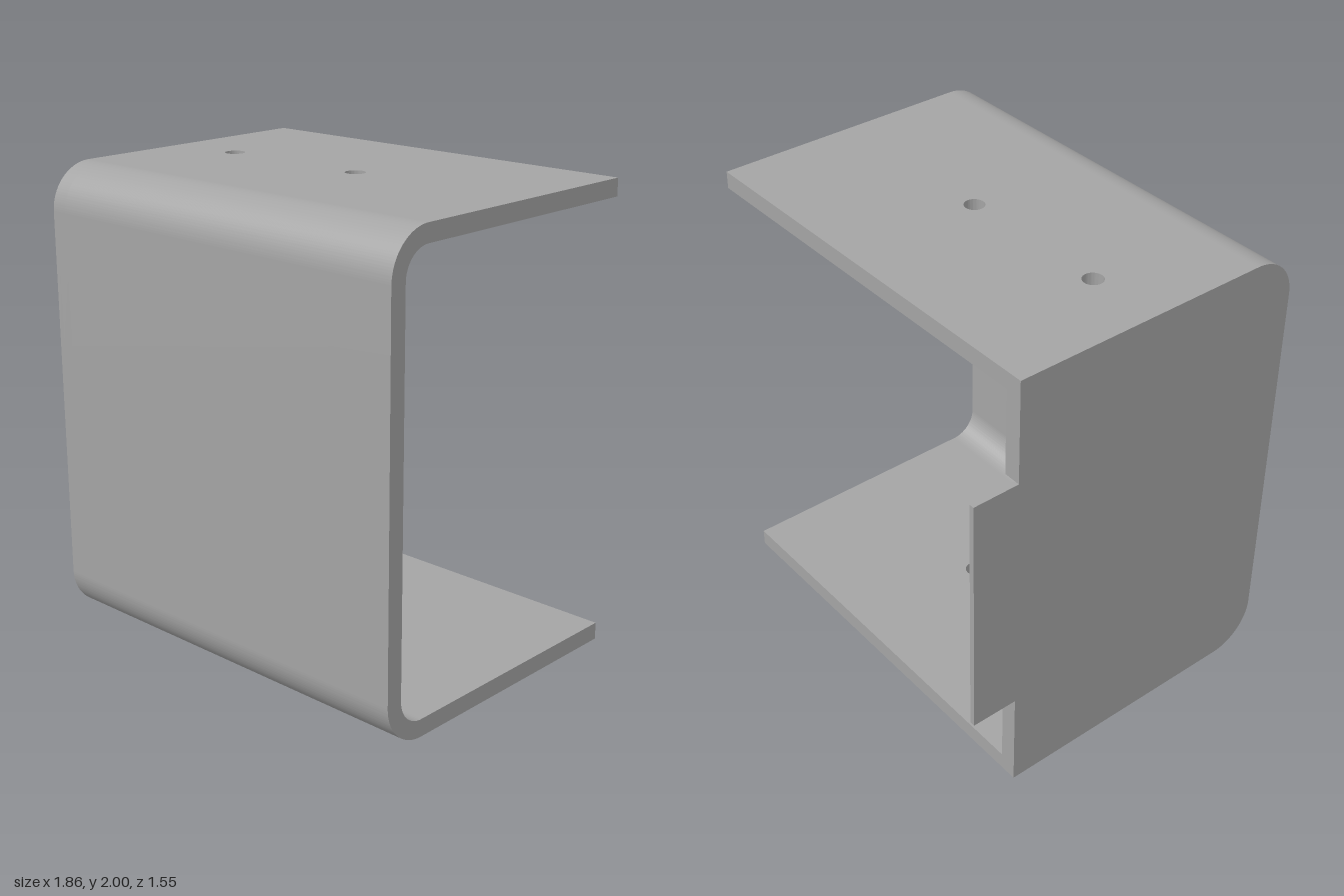
import * as THREE from 'three';
import { toCreasedNormals } from 'three/addons/utils/BufferGeometryUtils.js';

const W = 0.93, H = 2, T = 0.075;            // half width, height, sheet thickness
const FRONT = 0.775, BACK = -0.57, R = 0.195; // front and back z, outer bend radius
const SKIN = 0.023;                           // thickness of the tab
const TAB = { back: -0.775, front: 0.325, low: 0.45, high: 1.55 };
const BEND = FRONT - R;

export function createModel() {
  const group = new THREE.Group();
  const material = new THREE.MeshStandardMaterial({ color: 0xa4a4a4 });

  const add = (name, geometry) => {
    const mesh = new THREE.Mesh(toCreasedNormals(geometry, 0.5), material);
    mesh.name = name;
    group.add(mesh);
  };

  // Side profile (drawn in -z, y) extruded along x
  const alongX = (name, shape, x0, x1) => {
    const g = new THREE.ExtrudeGeometry(shape, { depth: x1 - x0, bevelEnabled: false, curveSegments: 48 });
    add(name, g.rotateY(Math.PI / 2).translate(x0, 0, 0));
  };

  // Rounded front outline, from the top back corner round to the bottom back corner
  const outline = () => {
    const s = new THREE.Shape();
    s.moveTo(-BACK, H);
    s.lineTo(-BEND, H);
    s.absarc(-BEND, H - R, R, Math.PI / 2, Math.PI, false);
    s.lineTo(-FRONT, R);
    s.absarc(-BEND, R, R, Math.PI, Math.PI * 1.5, false);
    s.lineTo(-BACK, 0);
    return s;
  };

  // Outer skin of the end wall, with the tab standing out at the back
  const skin = outline();
  skin.lineTo(-BACK, TAB.low);
  skin.lineTo(-TAB.back, TAB.low);
  skin.lineTo(-TAB.back, TAB.high);
  skin.lineTo(-BACK, TAB.high);
  skin.closePath();
  alongX('endWallSkinWithTab', skin, -W, -W + SKIN);

  // Inner layer of the end wall, cut away around the tab to leave a recess
  const inner = outline();
  inner.lineTo(-BACK, TAB.low);
  inner.lineTo(-TAB.front, TAB.low);
  inner.lineTo(-TAB.front, TAB.high);
  inner.lineTo(-BACK, TAB.high);
  inner.closePath();
  alongX('endWallRecessedLayer', inner, -W + SKIN, -W + T);

  // Front panel with its two bends
  const r = R - T;
  const band = new THREE.Shape();
  band.moveTo(-BEND, H);
  band.absarc(-BEND, H - R, R, Math.PI / 2, Math.PI, false);
  band.lineTo(-FRONT, R);
  band.absarc(-BEND, R, R, Math.PI, Math.PI * 1.5, false);
  band.lineTo(-BEND, T);
  band.absarc(-BEND, R, r, Math.PI * 1.5, Math.PI, true);
  band.lineTo(-FRONT + T, H - R);
  band.absarc(-BEND, H - R, r, Math.PI, Math.PI / 2, true);
  band.closePath();
  alongX('frontPanel', band, -W + T, W);

  // Top and bottom plates with two screw holes each
  for (const [name, top] of [['topPlate', H], ['bottomPlate', T]]) {
    const plate = new THREE.Shape();
    plate.moveTo(-W + T, BACK);
    plate.lineTo(W, BACK);
    plate.lineTo(W, BEND);
    plate.lineTo(-W + T, BEND);
    plate.closePath();
    for (const x of [-0.605, 0.093]) {
      plate.holes.push(new THREE.Path().absarc(x, 0.048, 0.043, 0, Math.PI * 2, true));
    }
    const g = new THREE.ExtrudeGeometry(plate, { depth: T, bevelEnabled: false, curveSegments: 32 });
    add(name, g.rotateX(Math.PI / 2).translate(0, top, 0));
  }
  return group;
}
